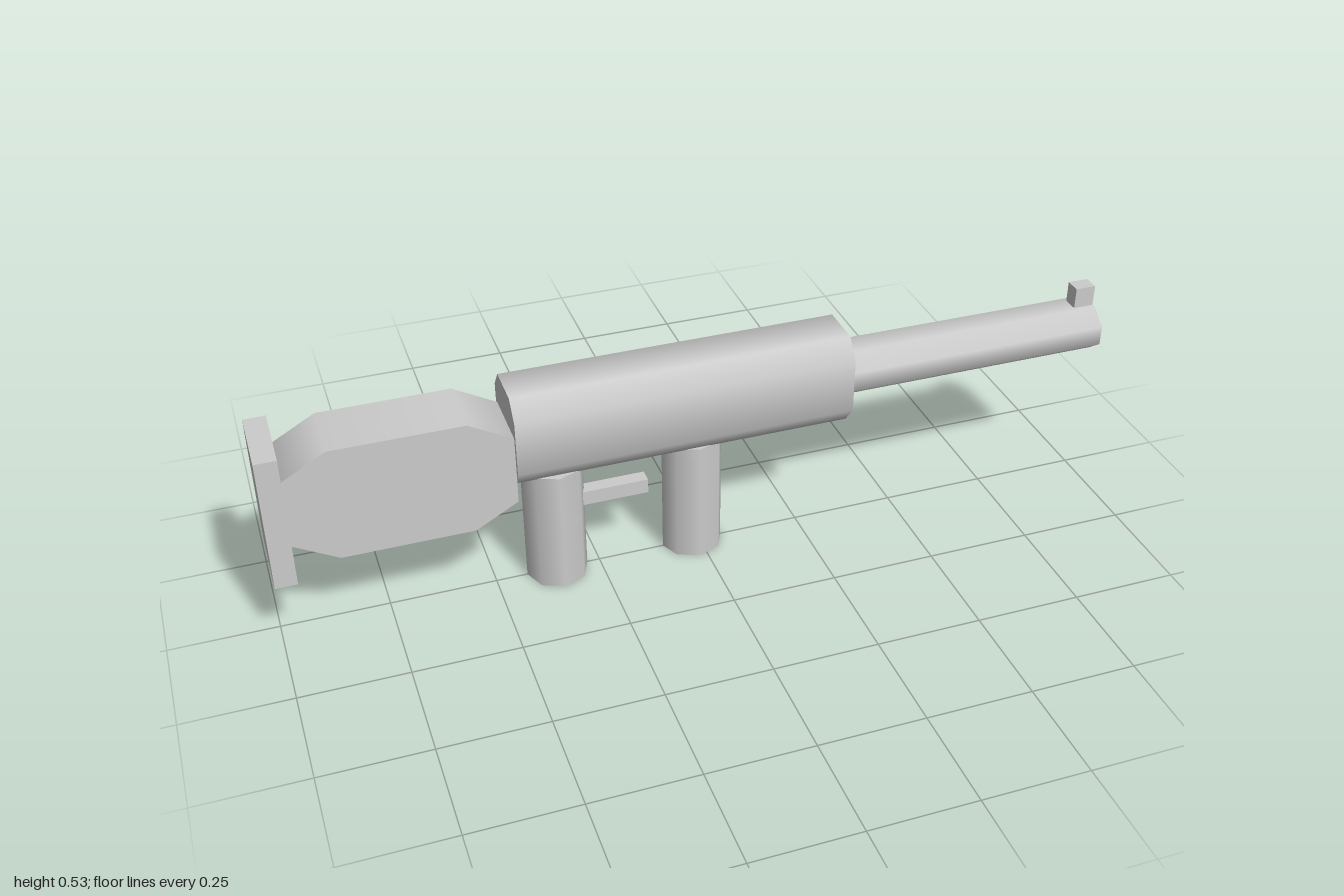
import * as THREE from 'three';

// Eight-sided prism along y with flat sides facing x and z.
// flat is the share of each side left between the chamfers; shading is smooth around it.
function chamferedPrism(halfX, length, halfZ, flat) {
  const g = new THREE.CylinderGeometry(1, 1, length, 8, 1, false, Math.PI / 8);
  const p = g.attributes.position;
  const snap = v => (Math.abs(v) < 0.1 ? 0 : Math.sign(v) * (Math.abs(v) > 0.7 ? 1 : flat));
  for (let i = 0; i < p.count; i++) p.setXYZ(i, snap(p.getX(i)), p.getY(i), snap(p.getZ(i)));
  return g.scale(halfX, 1, halfZ);
}

export function createModel() {
  const model = new THREE.Group();
  model.name = 'launcher';
  const grey = new THREE.MeshStandardMaterial({ color: 0xcccccc });
  grey.name = 'plainGrey';

  const add = (name, geometry, x, y, z = 0) => {
    const mesh = new THREE.Mesh(geometry, grey);
    mesh.name = name;
    mesh.position.set(x, y, z);
    model.add(mesh);
  };

  // Receiver and barrel run along x
  add('receiver', chamferedPrism(0.112, 0.797, 0.09, 0.59).rotateZ(-Math.PI / 2), -0.0515, 0.415);
  add('barrel', chamferedPrism(0.0565, 0.66, 0.073, 0.42).rotateZ(-Math.PI / 2), 0.67, 0.4135);
  add('frontSight', new THREE.BoxGeometry(0.05, 0.055, 0.038), 0.975, 0.4935);

  // Shoulder stock is a chamfered slab with its flat faces to the sides
  add('stock', chamferedPrism(0.25, 0.156, 0.14, 0.6).rotateX(Math.PI / 2), -0.7, 0.355);
  add('buttPlate', new THREE.BoxGeometry(0.05, 0.326, 0.18), -0.975, 0.34);

  // Two eight-sided grips, the front one a little slimmer
  for (const [name, x, halfZ] of [['rearGrip', -0.353, 0.073], ['frontGrip', -0.018, 0.065]]) {
    add(name, new THREE.CylinderGeometry(1, 1, 0.305, 8).scale(0.073, 1, halfZ), x, 0.1525);
  }
  add('trigger', new THREE.BoxGeometry(0.16, 0.036, 0.034), -0.21, 0.197);

  return model;
}
